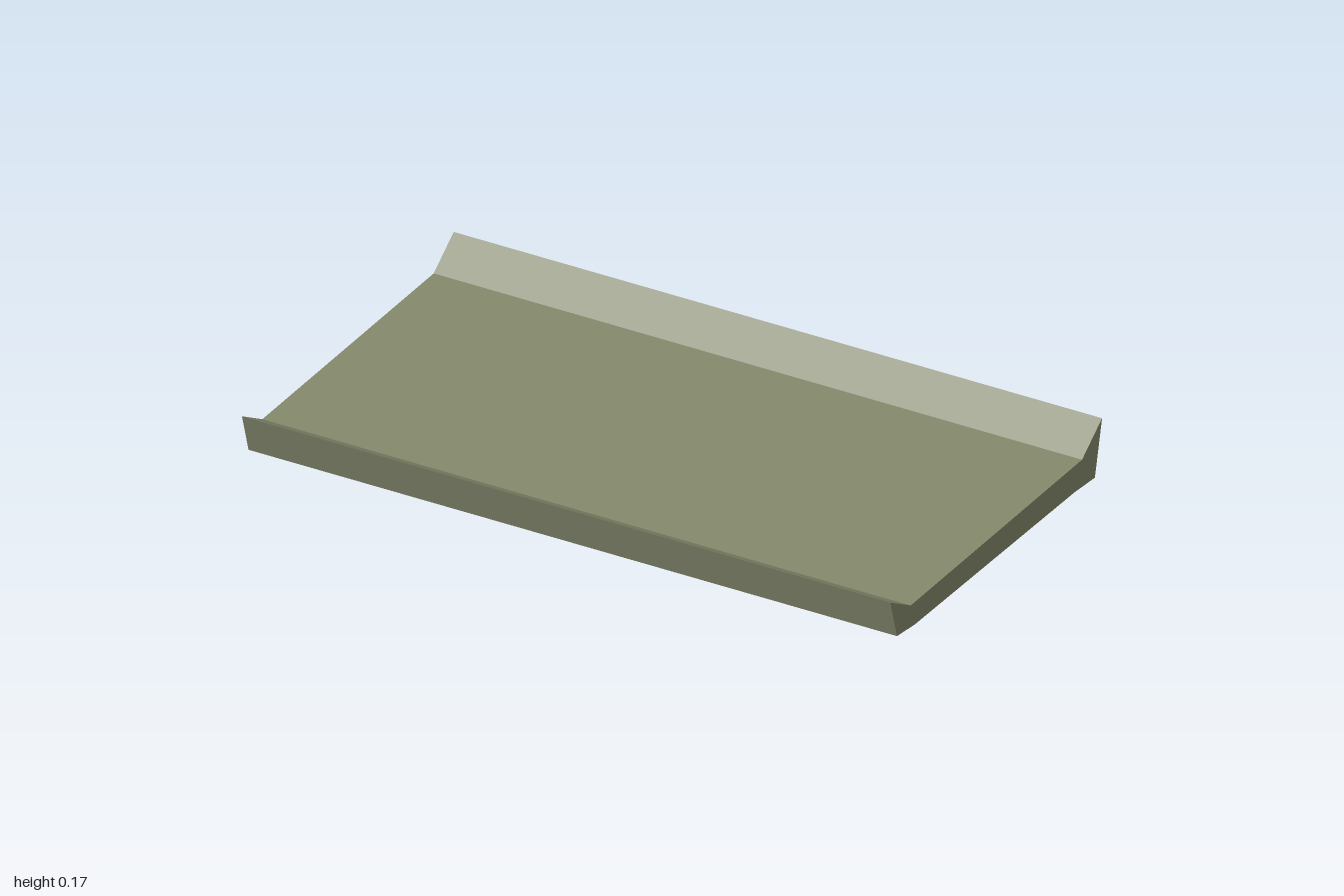
import * as THREE from 'three';

export function createModel() {
  const group = new THREE.Group();
  group.name = 'trayPanel';

  const olive = new THREE.MeshStandardMaterial({ color: 0x84886c });
  olive.name = 'olive';

  // Cross-section as (z, y): gently sloping deck with a raised lip at front and back
  const profile = [
    [0.511, 0.008], [0.545, 0.125], [0.44, 0.067], [-0.442, 0.093],
    [-0.545, 0.17], [-0.508, 0.008], [-0.404, 0.013], [0.42, 0],
  ].map(([z, y]) => new THREE.Vector2(z, y));

  // Sweep the section across the full width
  const geometry = new THREE.ExtrudeGeometry(new THREE.Shape(profile), {
    depth: 2, bevelEnabled: false,
  });
  geometry.translate(0, 0, -1);
  geometry.rotateY(-Math.PI / 2);

  const panel = new THREE.Mesh(geometry, olive);
  panel.name = 'lippedPanel';
  group.add(panel);
  return group;
}
